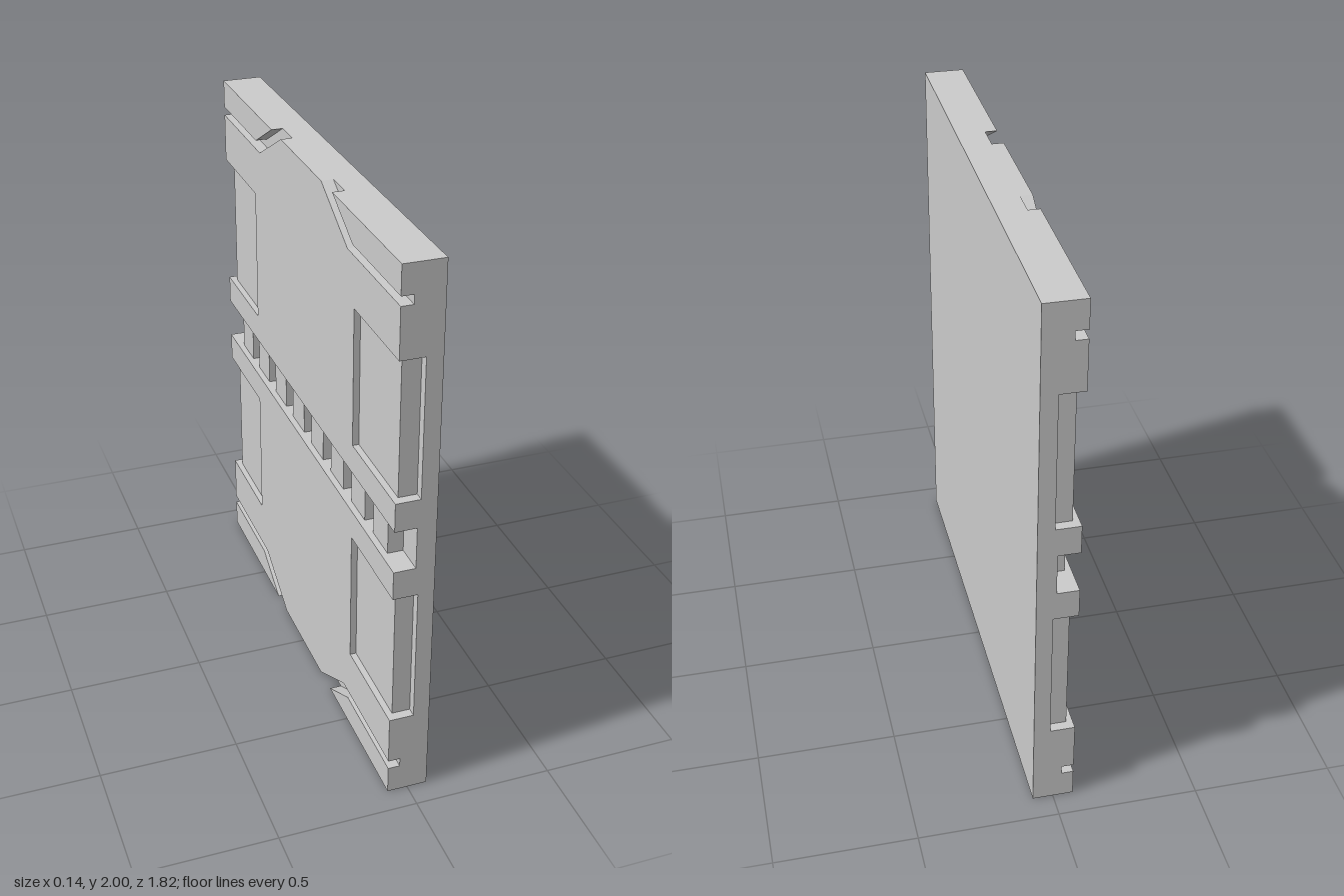
import * as THREE from 'three';

// Depths along x: outer face F, back face B, and the floors of each cut
const F = -0.0725, B = 0.0725, GROOVE = -0.03, PANEL = -0.05, NOTCH = 0.015, SLOT = 0.005;
const Z = 0.91, H = 2;                 // half width, height
const S1 = 1.077;                      // upper edge of the middle slot
const P0 = 1.183, P1 = 1.685;          // recessed panel, bottom and top
const PZ0 = 0.525, PZ1 = 0.876;        // recessed panel, inner and outer end
const G0 = 1.865, G1 = 1.897;          // groove, bottom and top

const mat = new THREE.MeshStandardMaterial({ color: 0xcccccc, flatShading: true });

// Mirror points (z, y) about z = 0 and y = 1, keeping the turning direction
function mirror(pts, sz, sy) {
  const out = pts.map(([z, y]) => [z * sz, 1 + (y - 1) * sy]);
  return sz * sy < 0 ? out.reverse() : out;
}

function flat(pts) {
  return new THREE.ShapeGeometry(new THREE.Shape(pts.map(p => new THREE.Vector2(...p))));
}

export function createModel() {
  const model = new THREE.Group();
  model.name = 'panel';

  const add = (name, geo) => {
    const mesh = new THREE.Mesh(geo, mat);
    mesh.name = name;
    model.add(mesh);
    return mesh;
  };

  // Flat face in the (z, y) plane at depth x, looking towards -x
  const face = (name, pts, x) => add(name, flat(pts).rotateY(-Math.PI / 2).translate(x, 0, 0));

  // Walls along a (z, y) path from depth x0 to x1, facing left of the path
  const wall = (name, pts, x0, x1) => {
    const pos = [];
    for (let i = 0; i + 1 < pts.length; i++) {
      const [[za, ya], [zb, yb]] = [pts[i], pts[i + 1]];
      pos.push(x1, ya, za, x0, ya, za, x0, yb, zb);
      pos.push(x1, ya, za, x0, yb, zb, x1, yb, zb);
    }
    const geo = new THREE.BufferGeometry();
    geo.setAttribute('position', new THREE.Float32BufferAttribute(pos, 3));
    geo.computeVertexNormals();
    add(name, geo);
  };

  // Plain side
  add('plainFace', new THREE.PlaneGeometry(2 * Z, H).rotateY(Math.PI / 2).translate(B, H / 2, 0));

  // Ends, cut through by the grooves, panel notches and slot
  const upper = [
    [B, H], [F, H], [F, G1], [GROOVE, G1], [GROOVE, G0], [F, G0],
    [F, P1], [NOTCH, P1], [NOTCH, P0], [F, P0], [F, S1], [SLOT, S1],
  ];
  const profile = [...upper, ...upper.map(([x, y]) => [x, H - y]).reverse()];
  add('frontEnd', flat(profile).translate(0, 0, Z));
  add('backEnd', flat(profile.map(([x, y]) => [-x, y])).rotateY(Math.PI).translate(0, 0, -Z));

  // Top and bottom edges, notched where the grooves run out
  const edgeHalf = [[B, Z], [F, Z], [F, 0.315], [GROOVE, 0.315], [GROOVE, 0.21], [F, 0.21]];
  const edge = [...edgeHalf, ...edgeHalf.map(([x, z]) => [x, -z]).reverse()];
  add('topEdge', flat(edge).rotateX(-Math.PI / 2).translate(0, H, 0));
  add('bottomEdge', flat(edge).rotateX(Math.PI / 2));

  // Outlines of one quarter
  const plateHalf = [
    [Z, S1], [Z, P0], [PZ0, P0], [PZ0, P1], [Z, P1], [Z, G0], [0.46, G0], [0.21, H],
  ];
  const plate = [...plateHalf, ...plateHalf.map(([z, y]) => [-z, y]).reverse()];
  const grooveLow = [[0.21, H], [0.46, G0], [Z, G0]];
  const grooveHigh = [[Z, G1], [0.505, G1], [0.315, H]];
  const rect = (z0, z1, y0, y1) => [[z0, y0], [z1, y0], [z1, y1], [z0, y1]];

  for (const sy of [1, -1]) {
    face('plate', mirror(plate, 1, sy), F);
    wall('slotWall', mirror([[Z, S1], [-Z, S1]], 1, sy), F, SLOT);

    for (const sz of [1, -1]) {
      const m = pts => mirror(pts, sz, sy);
      // Corner strip and bent groove
      face('cornerStrip', m([...grooveHigh, [Z, H]]), F);
      face('grooveFloor', m([...grooveLow, ...grooveHigh]), GROOVE);
      wall('grooveWall', m(grooveLow), F, GROOVE);
      wall('grooveWall', m(grooveHigh), F, GROOVE);
      // Recessed panel with a deeper notch at the end
      face('recessFloor', m(rect(PZ0, PZ1, P0, P1)), PANEL);
      wall('recessWall', m([[PZ1, P1], [PZ0, P1], [PZ0, P0], [PZ1, P0]]), F, PANEL);
      face('notchFloor', m(rect(PZ1, Z, P0, P1)), NOTCH);
      wall('notchStep', m([[PZ1, P1], [PZ1, P0]]), PANEL, NOTCH);
      wall('notchWall', m([[Z, P1], [PZ1, P1]]), F, NOTCH);
      wall('notchWall', m([[PZ1, P0], [Z, P0]]), F, NOTCH);
    }
  }

  // Middle slot with its row of teeth
  face('slotFloor', rect(-Z, Z, H - S1, S1), SLOT);
  const count = 8, pitch = 0.21, depth = SLOT - PANEL;
  for (let i = 0; i < count; i++) {
    const tooth = add('tooth', new THREE.BoxGeometry(depth, 2 * (S1 - 1), 0.13));
    tooth.position.set(PANEL + depth / 2, 1, (i - (count - 1) / 2) * pitch);
  }

  return model;
}
